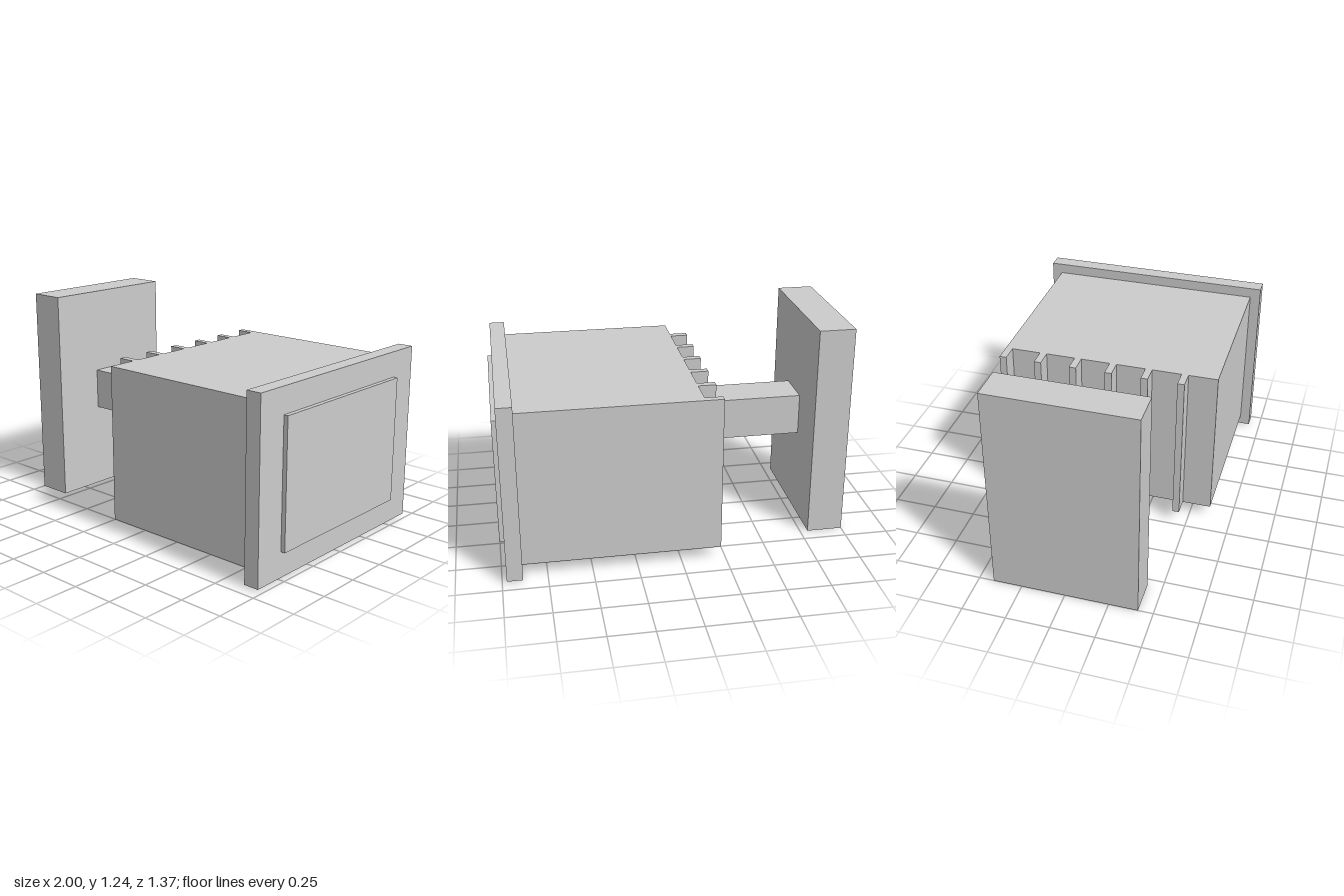
import * as THREE from 'three';

const material = new THREE.MeshStandardMaterial({ color: 0xcccccc, flatShading: true });

// Box given by its extents along each axis
function block(name, [x0, x1], [y0, y1], [z0, z1]) {
  const mesh = new THREE.Mesh(new THREE.BoxGeometry(x1 - x0, y1 - y0, z1 - z0), material);
  mesh.name = name;
  mesh.position.set((x0 + x1) / 2, (y0 + y1) / 2, (z0 + z1) / 2);
  return mesh;
}

export function createModel() {
  const model = new THREE.Group();
  model.name = 'mountedFloodlight';

  // Mounting plate and the arm that carries the housing
  model.add(block('mountingPlate', [-1, -0.795], [0, 1.243], [-0.415, 0.415]));
  model.add(block('arm', [-0.795, -0.14], [0.505, 0.745], [-0.12, 0.12]));

  // Housing, front flange and raised panel
  model.add(block('housing', [-0.122, 0.887], [0.073, 0.97], [-0.623, 0.623]));
  model.add(block('frontFlange', [0.887, 0.975], [0.012, 1.03], [-0.683, 0.683]));
  model.add(block('frontPanel', [0.975, 1], [0.157, 0.883], [-0.5, 0.5]));

  // Six cooling fins, the first flush with one side of the housing
  const fins = new THREE.Group();
  fins.name = 'coolingFins';
  for (let i = 0; i < 6; i++) {
    const z = -0.623 + i * 0.2077;
    fins.add(block('coolingFin', [-0.223, -0.122], [0.073, 0.97], [z, z + 0.04]));
  }
  model.add(fins);

  return model;
}
